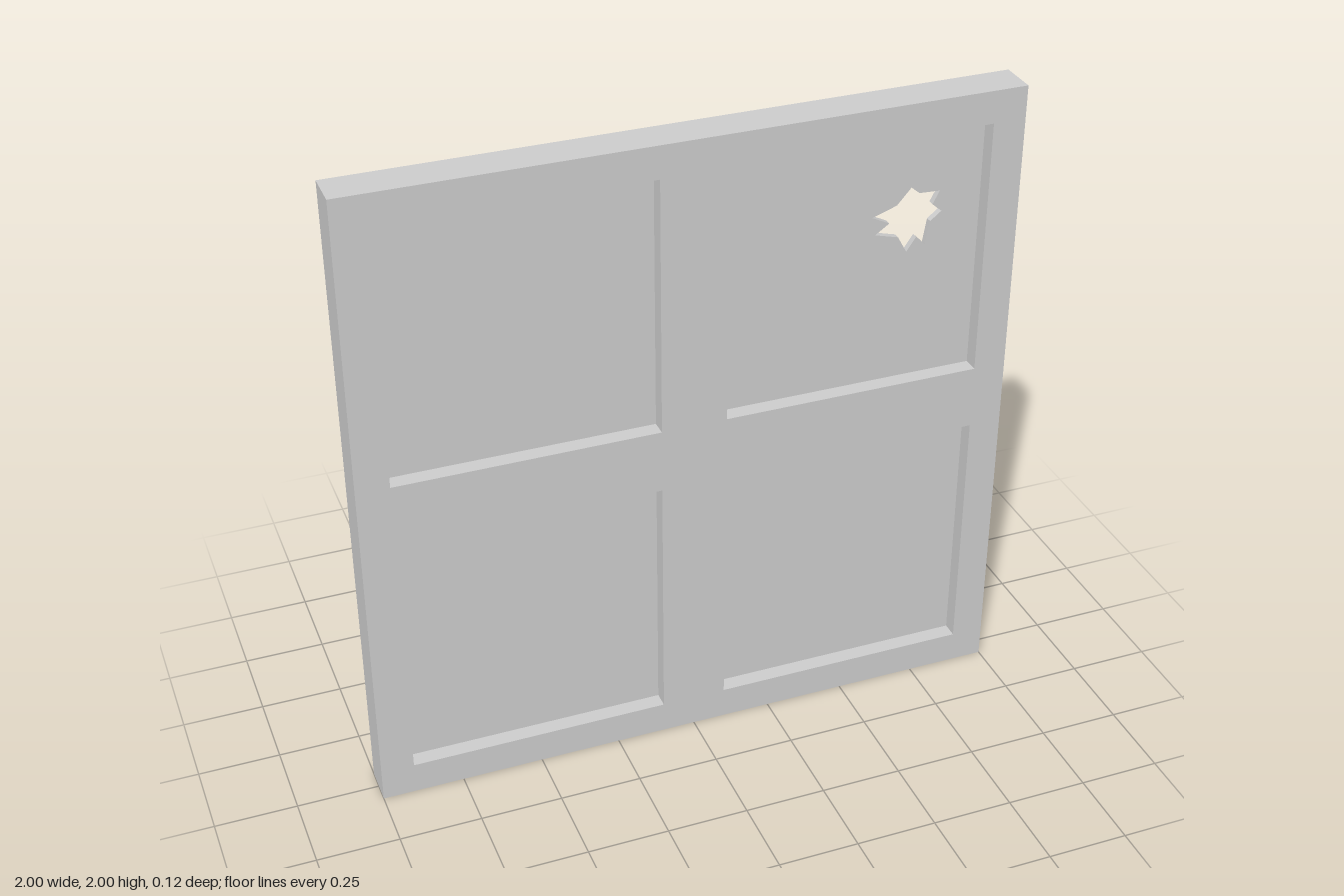
import * as THREE from 'three';

const FRAME_DEPTH = 0.12;
const PANE_DEPTH = 0.02;
const PANE = 0.8;

const material = new THREE.MeshStandardMaterial({ color: 0xcccccc, flatShading: true });

// Closed rectangle of the given class, centred on cx, cy
function rect(Type, cx, cy, w, h) {
  return new Type([[-1, -1], [1, -1], [1, 1], [-1, 1]].map(
    ([sx, sy]) => new THREE.Vector2(cx + sx * w / 2, cy + sy * h / 2)));
}

// Flat slab extruded from a shape, centred on z = 0
function slab(name, shape, depth) {
  const geometry = new THREE.ExtrudeGeometry(shape, { depth, bevelEnabled: false });
  geometry.translate(0, 0, -depth / 2);
  const mesh = new THREE.Mesh(geometry, material);
  mesh.name = name;
  return mesh;
}

export function createModel() {
  const group = new THREE.Group();
  group.name = 'brokenWindow';

  // Jagged outline of the hole in the upper left pane
  const shatter = [
    [0.56, 1.642], [0.636, 1.668], [0.679, 1.717], [0.706, 1.695], [0.77, 1.692],
    [0.749, 1.652], [0.779, 1.626], [0.745, 1.599], [0.733, 1.526], [0.703, 1.556],
    [0.674, 1.513], [0.645, 1.565], [0.572, 1.585], [0.615, 1.615],
  ].map(([x, y]) => new THREE.Vector2(x, y));

  // Frame with four square openings, each filled by a thin pane
  const frame = rect(THREE.Shape, 0, 1, 2, 2);
  for (const [vertical, cy] of [['lower', 0.5], ['upper', 1.5]]) {
    for (const [side, cx] of [['Right', -0.5], ['Left', 0.5]]) {
      frame.holes.push(rect(THREE.Path, cx, cy, PANE, PANE));
      const pane = rect(THREE.Shape, cx, cy, PANE, PANE);
      if (vertical === 'upper' && side === 'Left') pane.holes.push(new THREE.Path(shatter));
      group.add(slab(`${vertical}${side}Pane`, pane, PANE_DEPTH));
    }
  }
  group.add(slab('frame', frame, FRAME_DEPTH));

  return group;
}
